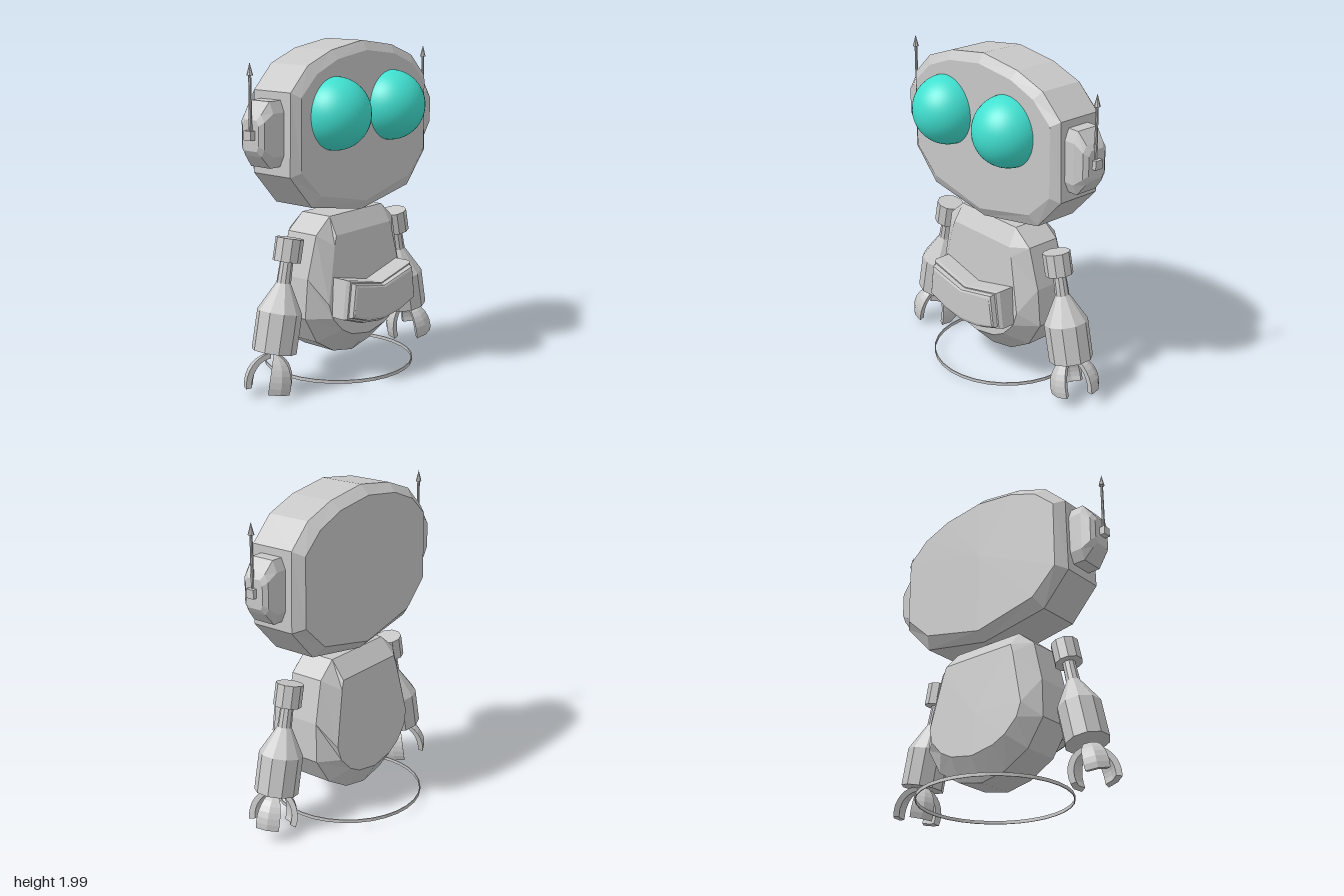
import * as THREE from 'three';

const metal = new THREE.MeshStandardMaterial({ color: 0xc8c8c8 });
metal.name = 'light grey metal';
const eyeGlow = new THREE.MeshStandardMaterial({ color: 0x40e0d0 });
eyeGlow.name = 'turquoise eye';

// Faceted version of a geometry
function faceted(geo) {
  const g = geo.index ? geo.toNonIndexed() : geo;
  g.computeVertexNormals();
  return g;
}

function add(parent, name, geo, material = metal) {
  const mesh = new THREE.Mesh(geo, material);
  mesh.name = name;
  parent.add(mesh);
  return mesh;
}

// Closed solid through rings of [x, y, z], counter-clockwise seen from the last ring
function loft(rings) {
  const pos = [];
  const n = rings[0].length;
  const tri = (...pts) => pts.forEach((p) => pos.push(...p));
  const centre = (r) => [0, 1, 2].map((k) => r.reduce((s, p) => s + p[k], 0) / n);
  const first = rings[0], last = rings[rings.length - 1];
  const c0 = centre(first), c1 = centre(last);
  for (let i = 0; i < n; i++) {
    const j = (i + 1) % n;
    for (let k = 0; k < rings.length - 1; k++) {
      const a = rings[k], b = rings[k + 1];
      tri(a[i], a[j], b[j], a[i], b[j], b[i]);
    }
    tri(c0, first[j], first[i]);
    tri(c1, last[i], last[j]);
  }
  const g = new THREE.BufferGeometry();
  g.setAttribute('position', new THREE.Float32BufferAttribute(pos, 3));
  g.computeVertexNormals();
  return g;
}

// Full outline from its right half (bottom to top); z is a function of x and y
function ring(half, cx, z) {
  const left = half.filter((p) => p[0] > 0).reverse().map(([x, y]) => [-x, y]);
  return [...half, ...left].map(([x, y]) => [x + cx, y, z(x, y)]);
}

function head(parent) {
  const rim = [[0, 1.01], [0.45, 1.09], [0.63, 1.285], [0.62, 1.75], [0.478, 1.887], [0.278, 1.96], [0, 2]];
  const face = [[0, 1.065], [0.41, 1.155], [0.575, 1.308], [0.573, 1.72], [0.44, 1.84], [0.26, 1.91], [0, 1.945]];
  const at = (z) => (x) => z - 0.014 * x;
  add(parent, 'head', loft([
    ring(face, -0.012, at(-0.153)), ring(rim, -0.012, at(-0.095)),
    ring(rim, -0.012, at(0.178)), ring(face, -0.012, at(0.213)),
  ]));
  for (const s of [-1, 1]) {
    const eye = add(parent, s > 0 ? 'leftEye' : 'rightEye', new THREE.SphereGeometry(0.208, 40, 28), eyeGlow);
    eye.position.set(-0.036 + s * 0.261, 1.608, 0.209 - s * 0.006);
  }
}

function body(parent) {
  const rim = [[0, 0.125], [0.17, 0.16], [0.33, 0.255], [0.433, 0.42], [0.42, 0.655], [0.355, 0.905], [0.24, 1]];
  const face = [[0, 0.262], [0.155, 0.29], [0.24, 0.335], [0.32, 0.42], [0.345, 0.505], [0.268, 0.84], [0.25, 0.895]];
  add(parent, 'body', loft([
    ring(face, -0.018, (x, y) => -0.16 - 0.08 * (0.9 - y)),
    ring(rim, -0.018, (x, y) => -0.12 + 0.057 * (y - 0.125)),
    ring(rim, -0.018, (x, y) => 0.11 + 0.035 * (y - 0.125)),
    ring(face, -0.018, (x, y) => 0.2 + 0.07 * (0.9 - y)),
  ]));

  // Stepped belly pocket: [z, x scale, y scale] per ring
  const pocket = [[0, 0.35], [0.16, 0.372], [0.325, 0.43], [0.295, 0.66], [0, 0.59]];
  const steps = [[0.2, 1, 1], [0.315, 1, 1], [0.335, 0.96, 0.95], [0.335, 0.92, 0.88], [0.362, 0.9, 0.84], [0.368, 0.87, 0.72]];
  add(parent, 'pocket', loft(steps.map(([z, sx, sy]) =>
    ring(pocket.map(([x, y]) => [x * sx, 0.505 + (y - 0.505) * sy]), -0.018, () => z))));
}

function ear(parent, s) {
  const g = new THREE.Group();
  g.name = s > 0 ? 'leftEar' : 'rightEar';
  parent.add(g);
  // Chamfered pod: [distance from centre, half depth, half height]
  const pod = [[0.56, 0.1, 0.183], [0.7, 0.1, 0.183], [0.755, 0.085, 0.115], [0.775, 0.06, 0.085]];
  const mesh = add(g, 'earPod', loft(pod.map(([d, w, h]) => ring(
    [[w * 0.72, -h], [w, -h * 0.65], [w, h * 0.65], [w * 0.72, h]], 0, () => d))));
  mesh.rotation.y = s * Math.PI / 2;
  mesh.position.set(-0.02, 1.523, 0.04);

  // Antenna with mounting block and pointed tip
  add(g, 'antennaMount', new THREE.BoxGeometry(0.034, 0.052, 0.052)).position.set(-0.024 + s * 0.788, 1.527, 0.048);
  const x = -0.025 + s * 0.779;
  add(g, 'antennaRod', faceted(new THREE.CylinderGeometry(0.008, 0.01, 0.35, 8))).position.set(x, 1.68, 0.05);
  add(g, 'antennaTip', faceted(new THREE.ConeGeometry(0.018, 0.07, 8))).position.set(x, 1.885, 0.05);
}

// Curved claw: a thick strip of an ellipsoid shell
function claw(azimuth) {
  const rings = [];
  const w = 0.5;
  for (let i = 0; i <= 8; i++) {
    const t = 0.12 + (1.83 - 0.12) * i / 8;
    const pt = (r, h, a) => [r * Math.sin(t) * Math.cos(a), h * Math.cos(t), r * Math.sin(t) * Math.sin(a)];
    const span = [azimuth - w, azimuth, azimuth + w];
    rings.push([
      ...span.map((a) => pt(0.147, 0.17, a)),
      ...span.reverse().map((a) => pt(0.112, 0.14, a)),
    ]);
  }
  return loft(rings);
}

function arm(parent, s) {
  const g = new THREE.Group();
  g.name = s > 0 ? 'leftArm' : 'rightArm';
  g.position.set(-0.016 + s * 0.481, 0.902, 0.048);
  g.rotation.z = s * 0.218;
  parent.add(g);
  // Shoulder, thin upper arm and flared forearm in one turned profile
  const profile = [[0, -0.655], [0.13, -0.655], [0.13, -0.425], [0.042, -0.26], [0.038, -0.135], [0.082, -0.135], [0.082, 0], [0, 0]];
  add(g, 'armTube', faceted(new THREE.LatheGeometry(profile.map((p) => new THREE.Vector2(...p)), 10)));
  const hand = new THREE.Group();
  hand.name = 'hand';
  hand.position.y = (s > 0 ? -0.64 : -0.668) - 0.17;
  g.add(hand);
  for (let i = 0; i < 3; i++) {
    const deg = (s > 0 ? -27 : 110) + i * 120;
    add(hand, 'claw', claw(THREE.MathUtils.degToRad(deg)));
  }
}

export function createModel() {
  const model = new THREE.Group();
  model.name = 'robot';
  head(model);
  body(model);
  for (const s of [-1, 1]) {
    ear(model, s);
    arm(model, s);
  }
  // Thin hoop hovering just above the ground
  const hoop = [[0.45, 0.045], [0.456, 0.045], [0.456, 0.065], [0.45, 0.065], [0.45, 0.045]];
  add(model, 'groundHoop', faceted(new THREE.LatheGeometry(hoop.map((p) => new THREE.Vector2(...p)), 32))).position.x = -0.015;
  return model;
}
